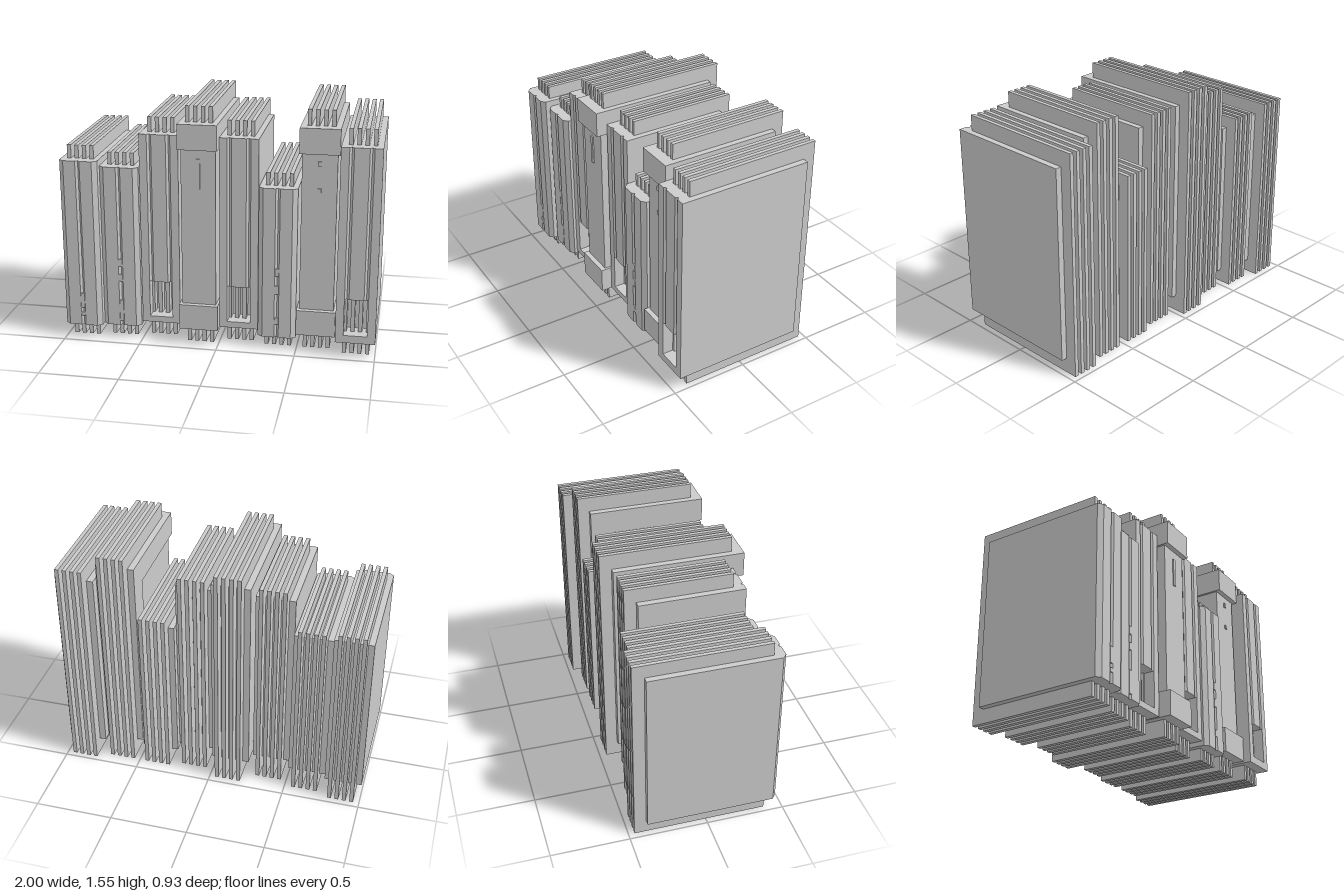
import * as THREE from 'three';

const material = new THREE.MeshStandardMaterial({ color: 0xcccccc, flatShading: true });

function add(group, geometry, name) {
  const mesh = new THREE.Mesh(geometry, material);
  mesh.name = name;
  group.add(mesh);
  return mesh;
}

function box(group, name, x0, x1, y0, y1, z0, z1) {
  const mesh = add(group, new THREE.BoxGeometry(x1 - x0, y1 - y0, z1 - z0), name);
  mesh.position.set((x0 + x1) / 2, (y0 + y1) / 2, (z0 + z1) / 2);
  return mesh;
}

// Upright prism from a plan outline of [x, z] points
function prism(group, name, plan, y0, y1) {
  const shape = new THREE.Shape(plan.map(([x, z]) => new THREE.Vector2(x, -z)));
  const geometry = new THREE.ExtrudeGeometry(shape, { depth: y1 - y0, bevelEnabled: false });
  geometry.rotateX(-Math.PI / 2);
  geometry.translate(0, y0, 0);
  return add(group, geometry, name);
}

// Points of a V groove cut into the front face, from left to right
const groove = (x, z) => [[x - 0.014, z], [x, z - 0.015], [x + 0.014, z]];

// Case with chamfered front corners, one groove and small indicators in it
function chamferedCase(g, { x0, x1, y0, y1, z0, z1, marks }) {
  const c = (x0 + x1) / 2;
  prism(g, 'chamferedCase', [
    [x0, z0], [x0, z1 - 0.025], [x0 + 0.03, z1], ...groove(c, z1),
    [x1 - 0.03, z1], [x1, z1 - 0.025], [x1, z0],
  ], y0, y1);
  for (const [a, b] of marks) box(g, 'indicator', c - 0.012, c + 0.012, a, b, z1 - 0.015, z1 + 0.002);
}

// Case with two grooves above a window that opens onto the plates
function windowCase(g, { x0, x1, y0, y1, z0, z1 }) {
  const c = (x0 + x1) / 2, w = 0.074, sill = 0.15, head = 0.39, back = z1 - 0.13;
  box(g, 'windowSill', x0, x1, y0, sill, z0, z1);
  prism(g, 'windowSurround', [
    [x0, z0], [x0, z1], [c - w, z1], [c - w, back],
    [c + w, back], [c + w, z1], [x1, z1], [x1, z0],
  ], sill, head);
  prism(g, 'groovedCase', [
    [x0, z0], [x0, z1], ...groove(c - 0.06, z1), ...groove(c + 0.06, z1), [x1, z1], [x1, z0],
  ], head, y1);
}

// Case with end caps and a middle set back at the front and sides
function cappedCase(g, { x0, x1, y0, y1, z0, z1, marks }) {
  const c = (x0 + x1) / 2, low = 0.275, high = 1.29, inset = 0.015;
  const step = z0 + 0.145, face = z1 - 0.033;
  box(g, 'bottomCap', x0, x1, y0, low, z0, z1);
  box(g, 'topCap', x0, x1, high, y1, z0, z1);
  prism(g, 'middlePanel', [
    [x0, z0], [x0, step], [x0 + inset, step], [x0 + inset, face],
    [x1 - inset, face], [x1 - inset, step], [x1, step], [x1, z0],
  ], low, high);
  for (const [a, b] of marks) box(g, 'indicator', c - 0.012, c + 0.012, a, b, face - 0.01, face + 0.008);
}

// Four thin plates that pass through the case and stand out above, below and behind
function plates(g, { x0, x1, z0, z1, top }) {
  const c = (x0 + x1) / 2 + 0.002;
  for (let i = 0; i < 4; i++) {
    const x = c + (i - 1.5) * 0.0485;
    box(g, 'plate', x - 0.0125, x + 0.0125, 0, top, z0 - 0.075, z1 - 0.07);
  }
}

const units = [
  { build: chamferedCase, x0: -1, x1: -0.757, y0: 0.09, y1: 1.19, z0: -0.387, z1: 0.455, top: 1.275,
    marks: [[0.21, 0.31], [0.155, 0.18]] },
  { build: chamferedCase, x0: -0.755, x1: -0.507, y0: 0.09, y1: 1.15, z0: -0.345, z1: 0.417, top: 1.23,
    marks: [[0.495, 0.545], [0.395, 0.44], [0.12, 0.265]] },
  { build: windowCase, x0: -0.503, x1: -0.255, y0: 0.11, y1: 1.36, z0: -0.297, z1: 0.375, top: 1.455 },
  { build: cappedCase, x0: -0.245, x1: 0.002, y0: 0.11, y1: 1.45, z0: -0.38, z1: 0.45, top: 1.55,
    marks: [[1.04, 1.23]] },
  { build: windowCase, x0: 0.004, x1: 0.25, y0: 0.11, y1: 1.36, z0: -0.307, z1: 0.38, top: 1.455 },
  { build: chamferedCase, x0: 0.253, x1: 0.495, y0: 0.08, y1: 1.065, z0: -0.345, z1: 0.417, top: 1.145,
    marks: [[0.495, 0.545], [0.375, 0.43], [0.17, 0.215]] },
  { build: cappedCase, x0: 0.498, x1: 0.745, y0: 0.11, y1: 1.45, z0: -0.345, z1: 0.417, top: 1.55,
    marks: [[1.21, 1.24], [1.045, 1.07]] },
  { build: windowCase, x0: 0.75, x1: 1, y0: 0.1, y1: 1.355, z0: -0.392, z1: 0.465, top: 1.455 },
];

export function createModel() {
  const model = new THREE.Group();
  model.name = 'rowOfUnits';
  units.forEach((unit, i) => {
    const g = new THREE.Group();
    g.name = `unit${i + 1}`;
    unit.build(g, unit);
    plates(g, unit);
    model.add(g);
  });
  return model;
}
